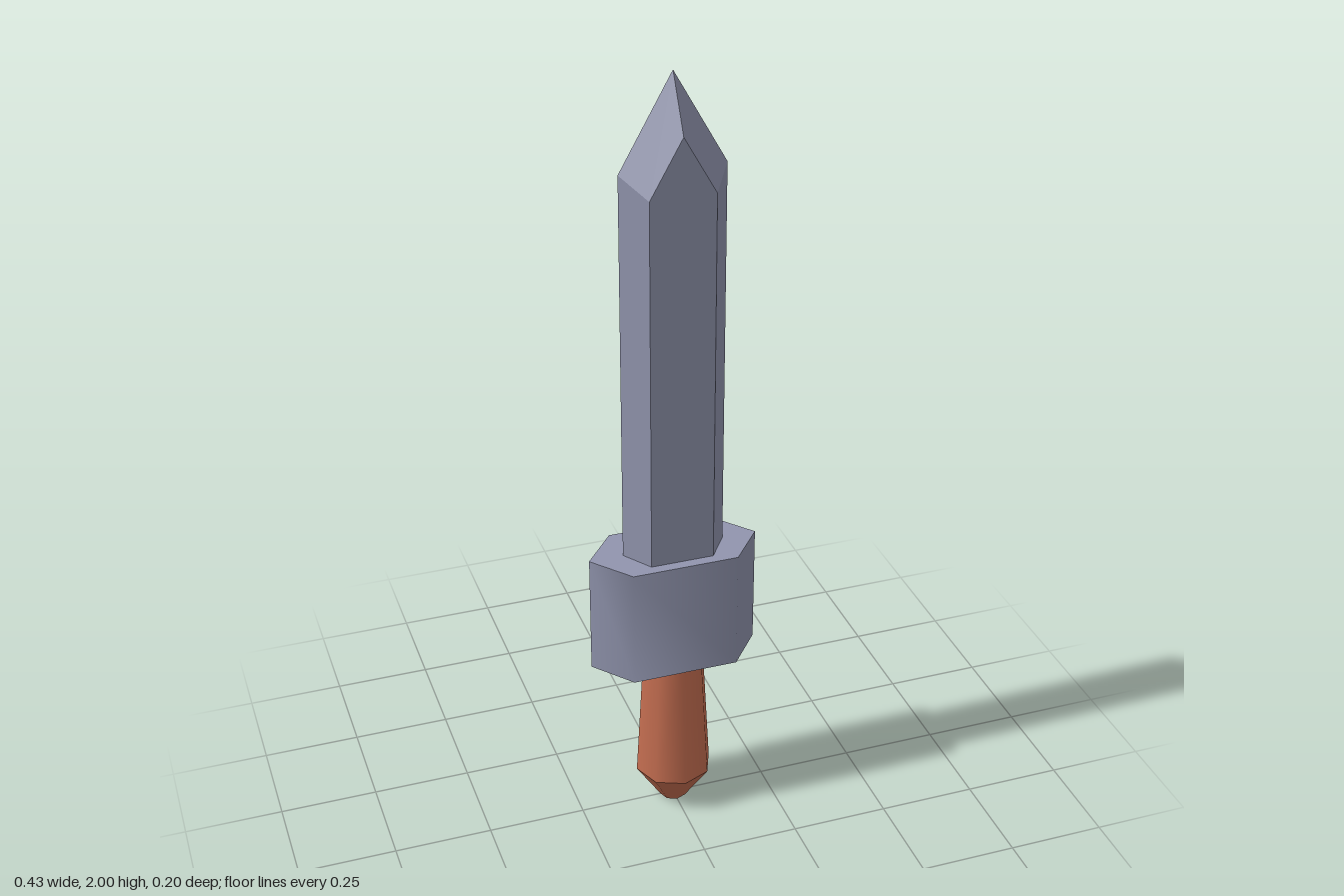
import * as THREE from 'three';
import { toCreasedNormals } from 'three/addons/utils/BufferGeometryUtils.js';

const GUARD_BOTTOM = 0.455, GUARD_TOP = 0.77;

// Six-sided blade whose top is cut by four planes meeting at the point
function bladeGeometry() {
  const w = 0.13, f = 0.08, d = 0.073;
  const ring = [[0, d], [f, d], [w, 0], [f, -d], [0, -d], [-f, -d], [-w, 0], [-f, d]];
  const shoulder = ([x, z]) => [x, 2 - 1.77 * Math.abs(x) - 1.78 * Math.abs(z), z];
  const base = ([x, z]) => [x, GUARD_TOP - 0.02, z];
  const apex = [0, 2, 0];
  const pos = [];
  ring.forEach((a, i) => {
    const b = ring[(i + 1) % ring.length];
    pos.push(...base(a), ...base(b), ...shoulder(b));
    pos.push(...base(a), ...shoulder(b), ...shoulder(a));
    pos.push(...shoulder(a), ...shoulder(b), ...apex);
  });
  const geo = new THREE.BufferGeometry();
  geo.setAttribute('position', new THREE.Float32BufferAttribute(pos, 3));
  geo.computeVertexNormals();
  return geo;
}

// Hexagonal block, sharp only at its two ends and its top and bottom
function guardGeometry() {
  const w = 0.217, f = 0.135, d = 0.1;
  const shape = new THREE.Shape(
    [[w, 0], [f, d], [-f, d], [-w, 0], [-f, -d], [f, -d]].map(([x, y]) => new THREE.Vector2(x, y)));
  const geo = new THREE.ExtrudeGeometry(shape, { depth: GUARD_TOP - GUARD_BOTTOM, bevelEnabled: false });
  geo.rotateX(-Math.PI / 2).translate(0, GUARD_BOTTOM, 0);
  return toCreasedNormals(geo, Math.PI / 3);
}

export function createModel() {
  const steel = new THREE.MeshStandardMaterial({ color: 0x9195ae });
  steel.name = 'steel';
  const leather = new THREE.MeshStandardMaterial({ color: 0xc36d50 });
  leather.name = 'leather';

  const group = new THREE.Group();
  group.name = 'dagger';
  const add = (name, geo, mat, y = 0) => {
    const mesh = new THREE.Mesh(geo, mat);
    mesh.name = name;
    mesh.position.y = y;
    group.add(mesh);
  };

  add('blade', bladeGeometry(), steel);
  add('guard', guardGeometry(), steel);

  // Grip widens downward, then the pommel tapers to a small flat end
  const gripHeight = GUARD_BOTTOM - 0.1;
  add('grip', new THREE.CylinderGeometry(0.08, 0.1, gripHeight, 8, 1, true), leather, 0.1 + gripHeight / 2);
  add('pommel', new THREE.CylinderGeometry(0.1, 0.035, 0.1, 8), leather, 0.05);
  return group;
}
